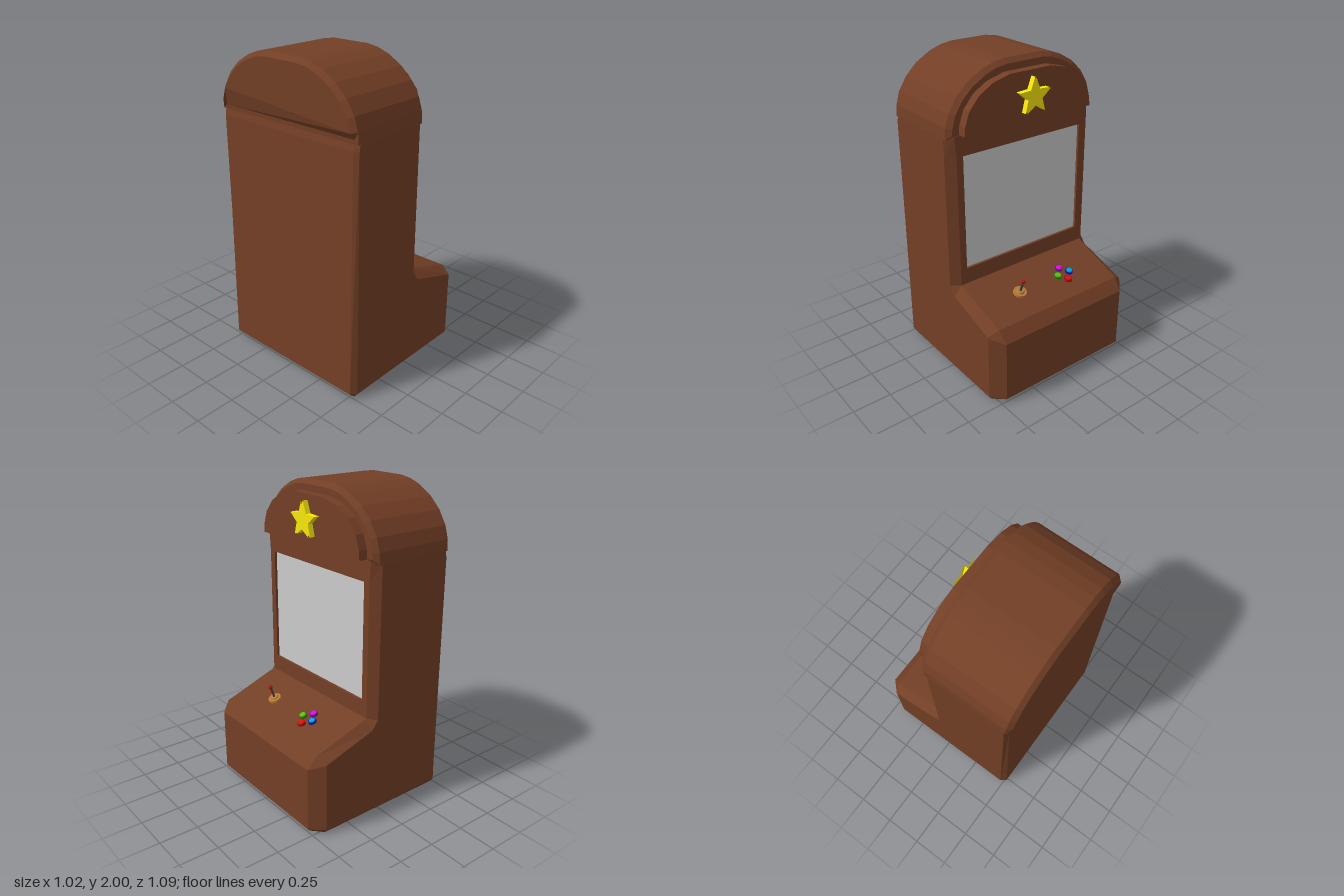
import * as THREE from 'three';

const BROWN = 0x733f26;

function part(name, geometry, color, flat = true) {
  const material = new THREE.MeshStandardMaterial({ color, flatShading: flat });
  const mesh = new THREE.Mesh(geometry, material);
  mesh.name = name;
  return mesh;
}

// Cabinet body: rings of the side outline, lofted from +z to -z.
// Each row: x, y, z of the outline's bevelled corner, then x, y on the flat side panel.
const OUTLINE = [
  [-0.48, 0, 0.52, -0.48, 0.03],
  [0.42, 0, 0.52, 0.425, 0.03],
  [0.48, 0, 0.455, 0.43, 0.03],
  [0.51, 0.03, 0.47, 0.43, 0.032],
  [0.51, 0.44, 0.47, 0.43, 0.47],
  [0.45, 0.515, 0.48, 0.429, 0.475],
  [0.085, 0.643, 0.49, 0.08, 0.585],
  [0.08, 0.645, 0.49, 0.035, 0.64],
  [0.08, 0.75, 0.49, 0.035, 0.75],
  [0.08, 0.751, 0.49, 0.035, 0.751],
  [0.08, 1.489, 0.49, 0.035, 1.489],
  [0.08, 1.49, 0.49, 0.035, 1.49],
  [0.08, 1.62, 0.5, 0.035, 1.605],
  [-0.48, 1.63, 0.51, -0.47, 1.605],
  [-0.495, 1.56, 0.515, -0.48, 1.56],
  [-0.515, 0.03, 0.515, -0.48, 0.031],
];

function bodyGeometry() {
  const SIDE = 0.545, HOLE = 0.445;
  const side = (s) => OUTLINE.map((p) => [p[3], p[4], s * SIDE]);
  const corner = (s) => OUTLINE.map((p) => [p[0], p[1], s * p[2]]);
  const inner = (s, notch) => OUTLINE.map((p, i) =>
    [notch && (i === 9 || i === 10) ? 0.06 : p[0], p[1], s * HOLE]);
  const rings = [side(1), corner(1), inner(1, false), inner(1, true),
    inner(-1, true), inner(-1, false), corner(-1), side(-1)];
  const pos = [];
  const n = OUTLINE.length;
  for (let r = 0; r < rings.length - 1; r++) {
    for (let i = 0; i < n; i++) {
      const j = (i + 1) % n;
      const [a, b, c, d] = [rings[r][i], rings[r][j], rings[r + 1][j], rings[r + 1][i]];
      pos.push(...a, ...d, ...c, ...a, ...c, ...b);
    }
  }
  const contour = rings[0].map((p) => new THREE.Vector2(p[0], p[1]));
  const last = rings[rings.length - 1];
  for (const [a, b, c] of THREE.ShapeUtils.triangulateShape(contour, [])) {
    pos.push(...rings[0][a], ...rings[0][b], ...rings[0][c]);
    pos.push(...last[a], ...last[c], ...last[b]);
  }
  const g = new THREE.BufferGeometry();
  g.setAttribute('position', new THREE.Float32BufferAttribute(pos, 3));
  g.computeVertexNormals();
  return g;
}

// Symmetric arch from its right half, bottom to top
function archShape(half) {
  const left = half.map(([x, y]) => [-x, y]).reverse();
  return new THREE.Shape([...half, ...left].map(([x, y]) => new THREE.Vector2(x, y)));
}

// Extrude along +x between two positions
function extrudeX(shape, x0, x1, bevel = 0) {
  const g = new THREE.ExtrudeGeometry(shape, {
    depth: x1 - x0 - 2 * bevel, bevelEnabled: bevel > 0, bevelSegments: 1,
    bevelThickness: bevel, bevelSize: bevel, bevelOffset: -bevel,
  });
  g.rotateY(Math.PI / 2);
  g.translate(x0 + bevel, 0, 0);
  return g;
}

// Pull every second point of a ten-sided solid inward to make a star
function starGeometry(top, bottom, height) {
  const g = new THREE.CylinderGeometry(top, bottom, height, 10, 1).toNonIndexed();
  const p = g.attributes.position;
  for (let i = 0; i < p.count; i++) {
    const x = p.getX(i), z = p.getZ(i);
    const step = Math.round(Math.atan2(x, z) / (Math.PI / 5));
    if (step % 2 !== 0) p.setXYZ(i, x * 0.43, p.getY(i), z * 0.43);
  }
  // Axis to +x, first point to +y
  g.rotateX(-Math.PI / 2);
  g.rotateY(Math.PI / 2);
  let sum = 0;
  for (let i = 0; i < p.count; i++) {
    if (Math.hypot(p.getY(i), p.getZ(i)) > 0.1 && Math.abs(p.getZ(i)) < 1e-4) sum += p.getY(i);
  }
  if (sum < 0) g.rotateX(Math.PI);
  g.computeVertexNormals();
  return g;
}

export function createModel() {
  const model = new THREE.Group();
  model.name = 'arcadeCabinet';

  model.add(part('body', bodyGeometry(), BROWN));

  // Screen in its recess
  const screen = part('screen', new THREE.BoxGeometry(0.01, 0.738, 0.888), 0xcccccc);
  screen.position.set(0.06, 1.12, 0);
  model.add(screen);

  // Rounded top with a bevelled rim; its lower back edge leans inward
  const hood = extrudeX(archShape([[0.545, 1.6], [0.54, 1.67], [0.515, 1.75], [0.46, 1.835],
    [0.385, 1.905], [0.29, 1.96], [0.21, 1.988], [0.13, 2]]), -0.515, 0.083, 0.028);
  const hp = hood.attributes.position;
  for (let i = 0; i < hp.count; i++) {
    if (hp.getX(i) < -0.51 && hp.getY(i) < 1.65) hp.setX(i, -0.488);
  }
  hood.computeVertexNormals();
  model.add(part('hood', hood, BROWN));

  // Raised marquee panel
  model.add(part('marquee', extrudeX(archShape([[0.47, 1.625], [0.465, 1.68], [0.435, 1.765],
    [0.365, 1.845], [0.27, 1.9], [0.15, 1.93]]), 0.07, 0.14), BROWN));

  // Star: flat base and pointed face
  const star = new THREE.Group();
  star.name = 'star';
  const base = part('starBase', starGeometry(0.115, 0.115, 0.04), 0xf8e80c);
  base.position.x = 0.155;
  const face = part('starFace', starGeometry(0.0001, 0.115, 0.012), 0xf8e80c);
  face.position.x = 0.181;
  star.add(base, face);
  star.position.y = 1.78;
  model.add(star);

  // Sloped control panel: local y is the panel normal
  const controlAt = (name, x, z) => {
    const g = new THREE.Group();
    g.name = name;
    g.position.set(x, 0.645 - (x - 0.08) * 0.351, z);
    g.rotation.z = -0.338;
    model.add(g);
    return g;
  };
  const disc = (name, rTop, rBottom, y0, y1, color) => {
    const m = part(name, new THREE.CylinderGeometry(rTop, rBottom, y1 - y0, 20), color, false);
    m.position.y = (y0 + y1) / 2;
    return m;
  };

  // Joystick
  const joystick = controlAt('joystick', 0.28, 0.19);
  const ball = part('joystickBall', new THREE.SphereGeometry(0.014, 16, 12), 0xb01010, false);
  ball.position.y = 0.1;
  joystick.add(
    disc('joystickBase', 0.042, 0.046, -0.01, 0.014, 0xb87a38),
    disc('joystickCollar', 0.022, 0.028, 0.014, 0.024, 0xb87a38),
    disc('joystickStick', 0.007, 0.007, 0.02, 0.095, 0x404040),
    ball,
  );

  // Four buttons in a diamond: x, z, rim colour, cap colour
  const buttons = [
    ['blue', 0.28, -0.218, 0x1414a8, 0x00a8d8],
    ['magenta', 0.232, -0.17, 0x7a0c98, 0xd812d8],
    ['red', 0.328, -0.17, 0xa00c0c, 0xdc1010],
    ['green', 0.28, -0.121, 0x2c7a10, 0x5cc010],
  ];
  for (const [name, x, z, rim, cap] of buttons) {
    const button = controlAt(name + 'Button', x, z);
    button.add(disc('buttonRim', 0.025, 0.028, -0.01, 0.013, rim),
      disc('buttonCap', 0.018, 0.021, 0.01, 0.018, cap));
  }
  return model;
}
